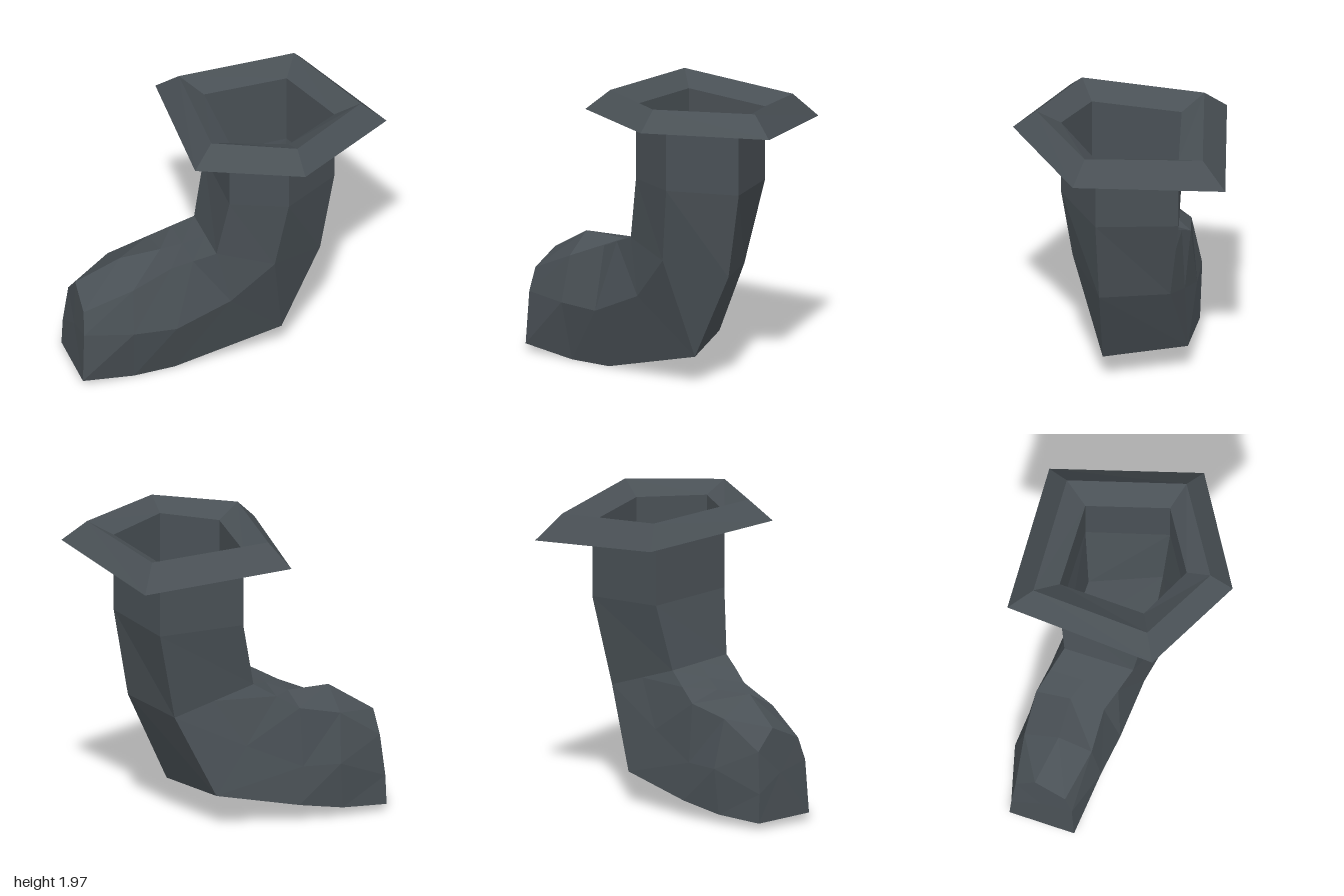
import * as THREE from 'three';

const mid = (a, b) => a.map((v, i) => (v + b[i]) / 2);

// Expands a five-sided ring (outer front, front, inner front, inner back, outer back)
// to the seven sides of the foot, so all parts share their corners.
const seven = ([r, f, l, bl, br]) => [r, f, l, mid(l, bl), bl, mid(bl, br), br];

// Flat-shaded skin through successive rings, optionally closed with a fan at the end.
function loft(name, rings, material, capped = false) {
  const pos = [];
  const n = rings[0].length;
  for (let i = 0; i < rings.length - 1; i++) {
    for (let j = 0; j < n; j++) {
      const k = (j + 1) % n;
      const a = rings[i][j], b = rings[i][k], c = rings[i + 1][j], d = rings[i + 1][k];
      pos.push(...a, ...b, ...c, ...b, ...d, ...c);
    }
  }
  if (capped) {
    const end = rings[rings.length - 1];
    const centre = [0, 1, 2].map(i => end.reduce((s, p) => s + p[i], 0) / n);
    for (let j = 0; j < n; j++) pos.push(...end[j], ...end[(j + 1) % n], ...centre);
  }
  const geo = new THREE.BufferGeometry();
  geo.setAttribute('position', new THREE.Float32BufferAttribute(pos, 3));
  geo.computeVertexNormals();
  const mesh = new THREE.Mesh(geo, material);
  mesh.name = name;
  return mesh;
}

export function createModel() {
  const group = new THREE.Group();
  group.name = 'stocking';
  const charcoal = new THREE.MeshStandardMaterial({ color: 0x495055, side: THREE.DoubleSide });
  charcoal.name = 'charcoal';

  // Cuff: opening, raised crest and flared brim
  const opening = [[0.68, 1.85, 0.14], [0.28, 1.89, 0.38], [-0.06, 1.86, 0.2], [-0.02, 1.82, -0.38], [0.55, 1.79, -0.39]];
  const crest = [[0.84, 1.94, 0.2], [0.28, 1.97, 0.54], [-0.21, 1.95, 0.27], [-0.14, 1.9, -0.52], [0.66, 1.85, -0.55]];
  const brim = [[0.99, 1.81, 0.27], [0.28, 1.85, 0.69], [-0.35, 1.82, 0.35], [-0.25, 1.75, -0.66], [0.76, 1.68, -0.7]];
  group.add(loft('cuff', [opening, crest, brim], charcoal));

  // Leg: open tube bending toward the foot
  const calf = [[0.68, 1.35, 0.14], [0.28, 1.38, 0.38], [-0.06, 1.36, 0.2], [-0.02, 1.32, -0.38], [0.55, 1.3, -0.39]];
  const ankle = [[0.59, 0.78, 0.12], [0.21, 0.88, 0.31], [-0.13, 0.94, 0.15], [-0.11, 0.9, -0.32], [0.43, 0.73, -0.33]];
  group.add(loft('leg', [opening, calf, ankle], charcoal));

  // Foot: heel, instep, ball and closed toe
  const heel = [[0.33, 0.2, 0.11], [-0.05, 0.57, 0.2], [-0.27, 0.875, 0.095], [-0.25, 0.82, -0.37], [0.18, 0.21, -0.43]];
  const instep = [[-0.37, 0, 0.03], [-0.4, 0.4, 0.15], [-0.4, 0.81, 0.04], [-0.39, 0.8, -0.19],
    [-0.39, 0.74, -0.42], [-0.4, 0.36, -0.46], [-0.37, 0.11, -0.48]];
  const ball = [[-0.65, 0, 0.03], [-0.68, 0.4, 0.11], [-0.66, 0.7, 0.04], [-0.67, 0.81, -0.18],
    [-0.67, 0.68, -0.41], [-0.65, 0.36, -0.48], [-0.67, 0.06, -0.46]];
  const toe = [[-1, 0.05, 0.03], [-0.985, 0.4, 0.01], [-0.97, 0.55, -0.04], [-0.95, 0.64, -0.25],
    [-0.95, 0.5, -0.38], [-0.98, 0.23, -0.4], [-0.985, 0.04, -0.41]];
  group.add(loft('foot', [seven(ankle), seven(heel), instep, ball, toe], charcoal, true));

  return group;
}
